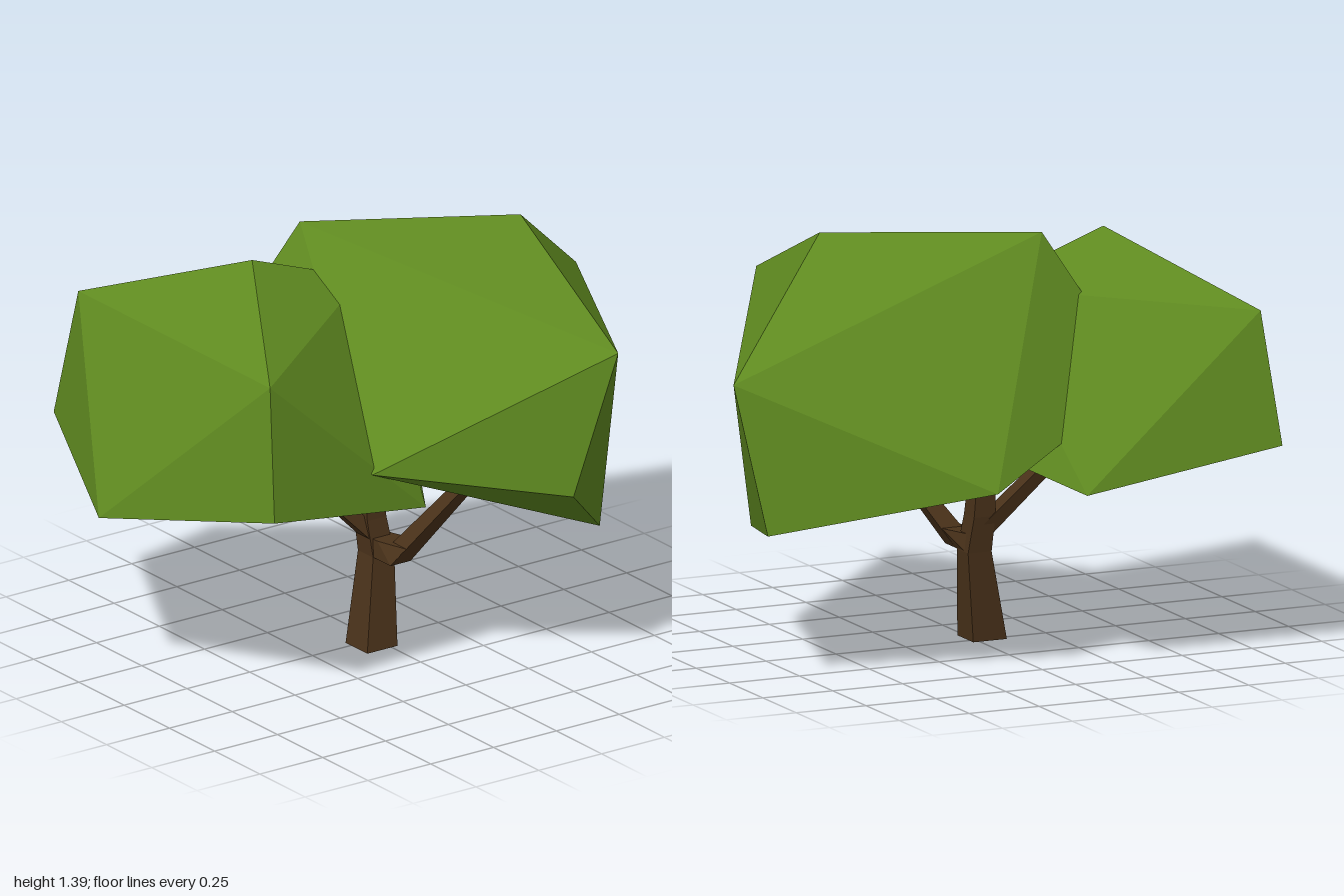
import * as THREE from 'three';
import { ConvexGeometry } from 'three/addons/geometries/ConvexGeometry.js';

const leafMaterial = new THREE.MeshStandardMaterial({ color: 0x5f8a20, flatShading: true });
const barkMaterial = new THREE.MeshStandardMaterial({ color: 0x4a321a, flatShading: true });

// Faceted solid around a few corner points
function hull(name, points, material) {
  const corners = points.map((p) => new THREE.Vector3(...p));
  const mesh = new THREE.Mesh(new ConvexGeometry(corners), material);
  mesh.name = name;
  return mesh;
}

// Four corners of a level square section
function square([x, y, z, r]) {
  return [[-r, -r], [r, -r], [r, r], [-r, r]].map(([dx, dz]) => [x + dx, y, z + dz]);
}

// Square limb through sections of [x, y, z, half width]
function limb(name, sections) {
  const group = new THREE.Group();
  group.name = name;
  for (let i = 1; i < sections.length; i++) {
    const points = [...square(sections[i - 1]), ...square(sections[i])];
    group.add(hull(`${name}Segment${i}`, points, barkMaterial));
  }
  return group;
}

export function createModel() {
  const tree = new THREE.Group();
  tree.name = 'tree';

  // Leaning trunk, carrying on into the crowns
  tree.add(limb('trunk', [
    [-0.037, 0, 0.03, 0.06],
    [0.01, 0.3, -0.01, 0.042],
    [0.0, 0.42, -0.03, 0.038],
    [-0.01, 0.7, -0.05, 0.028],
  ]));

  // Side branches
  tree.add(limb('rightBranch', [
    [0.0, 0.36, -0.02, 0.035],
    [-0.25, 0.62, -0.1, 0.028],
    [-0.29, 0.66, -0.11, 0.025],
  ]));
  tree.add(limb('leftBranch', [
    [0.01, 0.3, 0.085, 0.04],
    [0.17, 0.56, 0.24, 0.028],
    [0.22, 0.64, 0.28, 0.025],
  ]));
  tree.add(hull('leftBranchFoot', [
    ...square([0.01, 0.3, 0.01, 0.04]), ...square([0.01, 0.36, 0.01, 0.035]),
    ...square([0.01, 0.3, 0.085, 0.04]), ...square([0.045, 0.36, 0.12, 0.037]),
  ], barkMaterial));

  // Large crown on the left
  tree.add(hull('leftCrown', [
    [0.43, 1.13, 0.745], [0.52, 1.38, 0.08], [-0.11, 1.39, -0.265],
    [1.0, 0.99, -0.28], [0.92, 0.5, -0.37], [0.63, 0.365, 0.365],
    [0.27, 0.66, 0.72], [-0.3, 0.765, 0.4], [0.23, 0.63, -0.65],
    [-0.4, 0.9, -0.4],
  ], leafMaterial));

  // Smaller crown on the right, mirrored about its own middle plane
  const middle = -0.14;
  const ridge = [[-1, 0.605, middle], [-0.39, 1.36, middle], [0.05, 1.2, middle], [0.22, 0.75, middle]];
  const sides = [[-0.74, 0.72, 0.61], [-0.7, 1.155, 0.53], [-0.08, 0.6, 0.53]]
    .flatMap(([x, y, d]) => [[x, y, middle + d], [x, y, middle - d]]);
  tree.add(hull('rightCrown', [...ridge, ...sides], leafMaterial));

  return tree;
}
